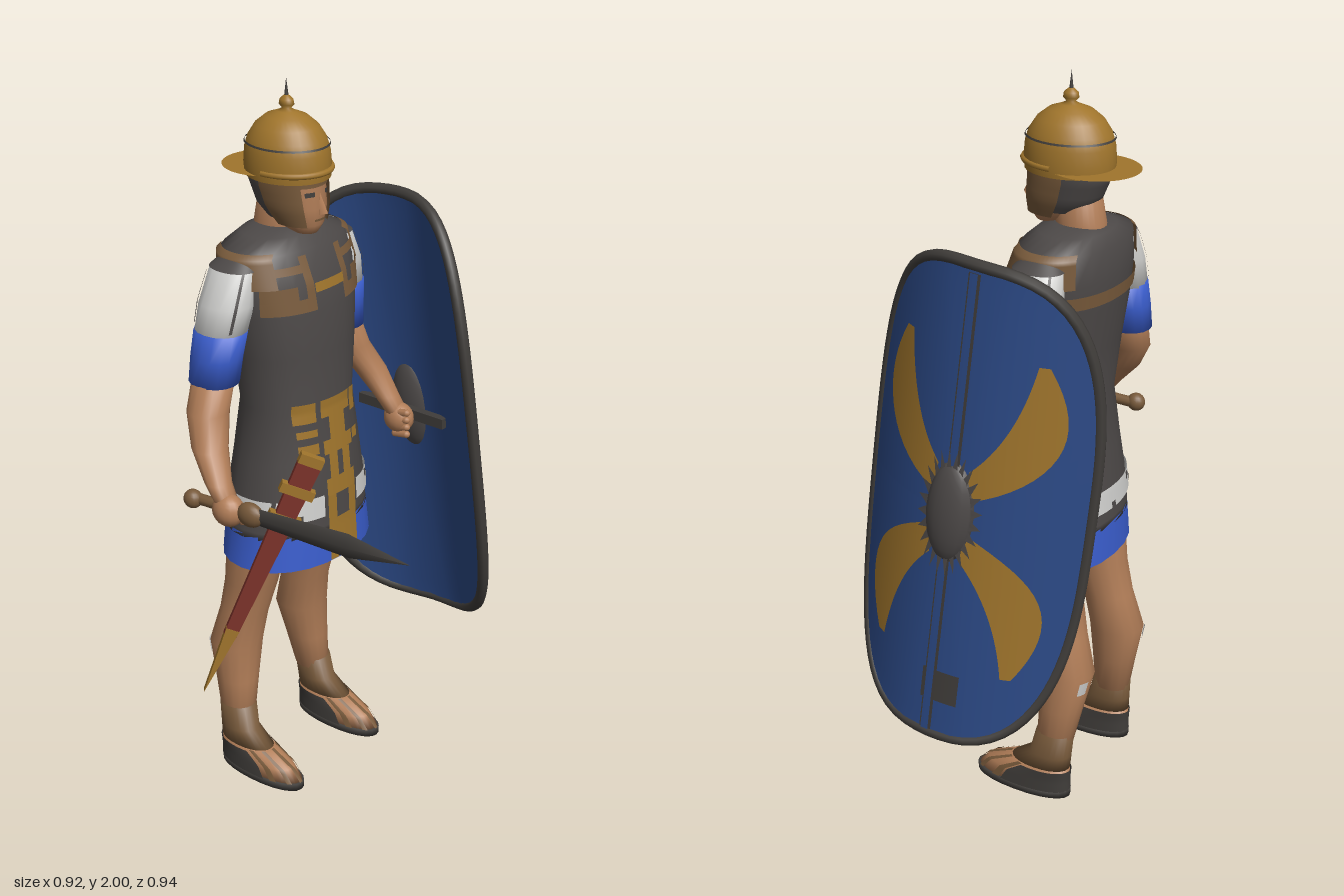
import * as THREE from 'three';

const P = 2.15; // roundness of the cross-sections
const mat = (name, color) => new THREE.MeshStandardMaterial({ name, color, side: THREE.DoubleSide });

// Interpolates sections [x, y, z, rx, rz] (ascending y) at a height
function at(secs, y) {
  let i = 0;
  while (i < secs.length - 2 && y > secs[i + 1][1]) i++;
  const a = secs[i], b = secs[i + 1], k = (y - a[1]) / (b[1] - a[1]);
  return a.map((v, n) => v + (b[n] - v) * k);
}
function ringPoint([x, y, z, rx, rz], t, off = 0) {
  const f = (c) => Math.sign(c) * Math.abs(c) ** (2 / P);
  return [x + (rx + off) * f(Math.cos(t)), y, z + (rz + off) * f(Math.sin(t))];
}
function buffer(pos, idx) {
  const g = new THREE.BufferGeometry();
  g.setAttribute('position', new THREE.Float32BufferAttribute(pos, 3));
  g.setIndex(idx);
  g.computeVertexNormals();
  return g;
}
// Closed rings stacked upwards, optionally capped
function loft(secs, caps = true, n = 24) {
  const pos = [], idx = [], m = secs.length;
  for (const s of secs) for (let j = 0; j < n; j++) pos.push(...ringPoint(s, (j / n) * Math.PI * 2));
  for (let i = 0; i < m - 1; i++) for (let j = 0; j < n; j++) {
    const a = i * n + j, b = i * n + (j + 1) % n;
    idx.push(a, a + n, b, b, a + n, b + n);
  }
  if (caps) {
    pos.push(...secs[0].slice(0, 3), ...secs[m - 1].slice(0, 3));
    for (let j = 0; j < n; j++) {
      const k = (j + 1) % n, e = (m - 1) * n;
      idx.push(m * n, j, k, m * n + 1, e + k, e + j);
    }
  }
  return buffer(pos, idx);
}
// Open sheet from a rule f(u, v) with u, v in 0..1
function sheet(f, nu = 8, nv = 8) {
  const pos = [], idx = [], w = nu + 1;
  for (let j = 0; j <= nv; j++) for (let i = 0; i <= nu; i++) pos.push(...f(i / nu, j / nv));
  for (let j = 0; j < nv; j++) for (let i = 0; i < nu; i++) {
    const a = j * w + i;
    idx.push(a, a + 1, a + w, a + 1, a + w + 1, a + w);
  }
  return buffer(pos, idx);
}
// Thin detail wrapped on a lofted body, by angle or by x range
const wrap = (secs, t0, t1, y0, y1, off = 0.005) => sheet((u, v) =>
  ringPoint(at(secs, y0 + (y1 - y0) * v), t1 + (t0 - t1) * u, off), Math.ceil((t1 - t0) * 10) + 4, 8);
const strip = (secs, x0, x1, y0, y1, side = 1, off = 0.006) => sheet((u, v) => {
  const s = at(secs, y0 + (y1 - y0) * v), x = side > 0 ? x0 + (x1 - x0) * u : x1 + (x0 - x1) * u;
  const c = Math.sign(x) * Math.min(1, Math.abs(x) / (s[3] + off)) ** (P / 2);
  return ringPoint(s, side * Math.acos(c), off);
}, 12, 8);

export function createModel() {
  const root = new THREE.Group(), body = new THREE.Group();
  root.name = 'soldier';
  body.name = 'figure';
  body.position.x = -0.043;
  root.add(body);
  const skin = mat('skin', 0xb27e58), mail = mat('mail', 0x4d4948), bronze = mat('bronze', 0xa0752c);
  const cloth = mat('blueCloth', 0x3a5dcc), paint = mat('shieldBlue', 0x2c4a87), white = mat('white', 0xd2d2d0);
  const leather = mat('leather', 0x785a3b), red = mat('red', 0x7c322a), dark = mat('darkIron', 0x403d3a);
  const add = (parent, name, geo, m, p = [0, 0, 0], s = [1, 1, 1]) => {
    const o = new THREE.Mesh(geo, m);
    o.name = name;
    o.position.set(...p);
    o.scale.set(...s);
    parent.add(o);
    return o;
  };
  const ball = new THREE.SphereGeometry(1, 16, 12);

  // Mail shirt and tunic hem
  const torso = [[0, 0.7, -0.19, 0.232, 0.17], [0, 0.81, -0.19, 0.218, 0.163], [0, 0.9, -0.188, 0.206, 0.158],
    [0, 1, -0.185, 0.189, 0.147], [0, 1.15, -0.183, 0.167, 0.13], [0, 1.3, -0.19, 0.184, 0.138],
    [0, 1.42, -0.2, 0.2, 0.143], [0, 1.5, -0.21, 0.208, 0.138], [0, 1.578, -0.222, 0.2, 0.118],
    [0, 1.607, -0.225, 0.12, 0.09], [0, 1.62, -0.23, 0.06, 0.06]];
  add(body, 'tunicHem', loft([torso[0], at(torso, 0.8)], false), cloth);
  add(body, 'mailShirt', loft([at(torso, 0.79), ...torso.slice(1)]), mail);
  add(body, 'whiteFringe', wrap(torso, 0, Math.PI * 2, 0.842, 0.905), white);
  for (let i = 0; i < 15; i++) {
    const t = (i / 15) * Math.PI * 2 + 0.1, low = i % 2 ? 0.84 : 0.885;
    add(body, 'fringeNotch', wrap(torso, t, t + 0.07, low, low + 0.022, 0.008), mail);
  }
  add(body, 'fringeGap', strip(torso, -0.07, 0.06, 0.83, 0.91, 1, 0.009), mail);
  // Bronze belt and apron
  const apron = [[-0.135, -0.075, 1.12, 1.175], [0.055, 0.08, 1.11, 1.175], [-0.13, -0.075, 1.03, 1.06],
    [0.055, 0.08, 1.03, 1.06], [-0.13, -0.075, 1.08, 1.1], [-0.06, 0.05, 1.125, 1.175], [-0.035, 0.025, 1.06, 1.125],
    [-0.06, 0.05, 1.02, 1.06], [-0.045, -0.015, 0.95, 1.02], [0.005, 0.035, 0.95, 1.02], [-0.06, 0.05, 0.9, 0.95],
    [-0.06, 0.05, 0.745, 0.83], [-0.06, -0.03, 0.71, 0.9], [0.02, 0.05, 0.71, 0.9]];
  for (const [a, b, c, d] of apron) add(body, 'apronPlate', strip(torso, a, b, c, d, 1, 0.011), bronze);
  add(body, 'chestClasp', strip(torso, -0.055, 0.055, 1.475, 1.5, 1, 0.009), bronze);
  add(body, 'backBand', strip(torso, -0.19, 0.19, 1.44, 1.475, -1), leather);

  // Head and helmet
  const head = [[0, 1.61, -0.145, 0.028, 0.035], [0, 1.635, -0.165, 0.054, 0.07], [0, 1.68, -0.185, 0.072, 0.095],
    [0, 1.74, -0.2, 0.08, 0.105], [0, 1.79, -0.2, 0.08, 0.105]];
  add(body, 'neck', loft([[0, 1.54, -0.24, 0.066, 0.072], [0, 1.62, -0.235, 0.058, 0.066], [0, 1.72, -0.22, 0.055, 0.06]]), skin);
  add(body, 'head', loft(head), skin);
  add(body, 'hair', wrap(head, -Math.PI + 0.1, -0.1, 1.65, 1.77, 0.006), mail);
  const nose = add(body, 'nose', new THREE.ConeGeometry(0.016, 0.055, 4), skin, [0, 1.695, -0.088]);
  nose.rotation.x = -0.2;
  add(body, 'mouth', strip(head, -0.02, 0.02, 1.648, 1.654, 1, 0.003), leather);
  add(body, 'browShade', strip(head, -0.065, 0.065, 1.738, 1.77, 1, 0.003), leather);
  const dome = [[0.101, 1.752], [0.103, 1.78], [0.1, 1.82], [0.092, 1.85], [0.075, 1.88], [0.05, 1.903], [0.022, 1.915],
    [0.01, 1.922], [0.018, 1.932], [0.016, 1.945], [0.006, 1.955], [0, 1.956]].map((p) => new THREE.Vector2(...p));
  add(body, 'helmet', new THREE.LatheGeometry(dome, 32), bronze, [0, 0, -0.2], [1, 1, 1.17]);
  add(body, 'helmetSpike', new THREE.ConeGeometry(0.006, 0.05, 8), dark, [0, 1.975, -0.2]);
  add(body, 'helmetLine', new THREE.CylinderGeometry(0.099, 0.101, 0.005, 32, 1, true), dark, [0, 1.838, -0.2], [1, 1, 1.17]);
  add(body, 'neckGuard', new THREE.CircleGeometry(1, 32).rotateX(-Math.PI / 2), bronze, [0, 1.765, -0.27], [0.114, 1, 0.12]);
  const brow = add(body, 'browBand', new THREE.TorusGeometry(0.1, 0.008, 8, 24, Math.PI), bronze, [0, 1.775, -0.2], [1, 1.2, 1]);
  brow.rotation.x = Math.PI / 2;

  // Mirrored parts
  for (const s of [-1, 1]) {
    const side = s < 0 ? 'right' : 'left';
    const flip = (secs) => secs.map(([x, y, z, a, b = a]) => [x * s, y, z, a, b]);
    const span = (a, b) => (s < 0 ? [-b, -a] : [a, b]);
    const turn = (a, b) => (s < 0 ? [Math.PI - b, Math.PI - a] : [a, b]);
    add(body, side + 'CheekGuard', wrap(head, ...turn(-0.2, 0.9), 1.635, 1.77, 0.008), leather);
    add(body, side + 'Eye', strip(head, ...span(0.02, 0.045), 1.715, 1.727, 1, 0.003), dark);
    // Shoulder yoke edging
    for (const [a, b, c, d] of [[0.055, 0.08, 1.43, 1.57], [0.055, 0.19, 1.43, 1.465], [0.105, 0.19, 1.465, 1.5], [0.08, 0.16, 1.53, 1.55]])
      add(body, side + 'YokeEdge', strip(torso, ...span(a, b), c, d), leather);
    add(body, side + 'ShoulderEdge', wrap(torso, ...turn(-0.75, 0.8), 1.5, 1.585, 0.008), leather);
    // Arm, the left one held closer in behind the shield
    const hx = s < 0 ? 0.37 : 0.345;
    const arm = add(body, side + 'Arm', loft(flip([[hx - 0.002, 0.98, -0.105, 0.03], [hx - 0.008, 1.03, -0.14, 0.035],
      [0.33, 1.1, -0.195, 0.047], [0.29, 1.18, -0.235, 0.055], [0.255, 1.27, -0.242, 0.055]]), true, 16), skin);
    add(arm, side + 'Cuff', loft(flip([[0.255, 1.25, -0.242, 0.062, 0.068], [0.247, 1.32, -0.237, 0.064, 0.07],
      [0.236, 1.39, -0.23, 0.066, 0.072]]), true, 16), cloth);
    const sleeve = flip([[0.237, 1.375, -0.232, 0.063, 0.07], [0.215, 1.46, -0.226, 0.066, 0.075],
      [0.187, 1.545, -0.223, 0.054, 0.068], [0.15, 1.582, -0.22, 0.04]]);
    add(arm, side + 'Sleeve', loft(sleeve, true, 16), white);
    add(arm, side + 'ShoulderCap', wrap(sleeve, 0, Math.PI * 2, 1.548, 1.58, 0.004), mail);
    for (const t of [-2.1, -0.9, 0.9, 2.1])
      add(arm, side + 'SleeveTrim', wrap(sleeve, t, t + 0.12, 1.4, 1.55, 0.004), mail);
    add(arm, side + 'Hand', ball, skin, [s * hx, 0.965, -0.1], [0.038, 0.045, 0.046]);
    for (let i = 0; i < 4; i++) {
      const f = add(arm, side + 'Finger', new THREE.CapsuleGeometry(0.011, 0.04, 3, 8), skin,
        [s * (hx - 0.016), 0.925 + (s > 0 ? i * 0.022 : 0.022), -0.075 - (s < 0 ? i * 0.021 : 0.005)]);
      f.rotation.set(s > 0 ? 1.4 : 0, 0, s > 0 ? 0 : 0.5);
    }
    // Leg and sandal
    const leg = flip([[0.164, 0.17, -0.28, 0.045, 0.05], [0.153, 0.28, -0.29, 0.057, 0.062], [0.142, 0.39, -0.3, 0.07, 0.076],
      [0.131, 0.5, -0.275, 0.065, 0.07], [0.125, 0.6, -0.25, 0.07, 0.076], [0.12, 0.72, -0.23, 0.08, 0.086],
      [0.113, 0.85, -0.205, 0.085, 0.09]]);
    add(body, side + 'Leg', loft(leg, true, 16), skin);
    add(body, side + 'CalfPatch', wrap(leg, ...turn(-1.35, -0.95), 0.345, 0.385, 0.004), white);
    const foot = flip([[0.172, 0.02, -0.185, 0.052, 0.142], [0.172, 0.055, -0.2, 0.05, 0.126], [0.172, 0.09, -0.24, 0.047, 0.088],
      [0.17, 0.13, -0.27, 0.044, 0.06], [0.165, 0.2, -0.28, 0.048, 0.053]]);
    add(body, side + 'Foot', loft(foot.slice(0, 3)), skin);
    add(body, side + 'SandalCuff', loft(foot.slice(2)), leather);
    add(body, side + 'Sole', loft([[s * 0.172, 0, -0.185, 0.054, 0.146], [s * 0.172, 0.022, -0.185, 0.055, 0.147]]), dark);
    add(body, side + 'Heel', wrap(foot, -Math.PI - 0.3, 0.3, 0.02, 0.085, 0.004), dark);
    for (const t of [0.35, 0.9, 1.45, 2, 2.5])
      add(body, side + 'SandalStrap', wrap(foot, t, t + 0.18, 0.022, 0.09, 0.004), leather);
  }

  // Sword held forward
  const sword = new THREE.Group();
  sword.name = 'sword';
  sword.position.set(-0.405, 0.972, 0);
  sword.rotation.set(-0.035, 0.05, 0);
  root.add(sword);
  const blade = [[0, -0.02], [0.024, 0], [0.034, 0.28], [0, 0.465]].map((p) => new THREE.Vector2(...p));
  add(sword, 'blade', new THREE.LatheGeometry(blade, 4).rotateX(Math.PI / 2), dark, [0, 0, 0], [0.4, 1, 1]);
  add(sword, 'guard', ball, leather, [0, 0, -0.03], [0.024, 0.034, 0.04]);
  add(sword, 'grip', new THREE.CylinderGeometry(0.015, 0.015, 0.17, 10).rotateX(Math.PI / 2), leather, [0, 0, -0.12]);
  add(sword, 'pommel', ball, leather, [-0.008, 0, -0.215], [0.024, 0.026, 0.026]);

  // Scabbard hanging at the right hip
  const scabbard = new THREE.Group();
  scabbard.name = 'scabbard';
  scabbard.position.set(-0.288, 0.71, -0.118);
  scabbard.rotation.set(0, -Math.PI / 4, -0.415, 'YXZ');
  root.add(scabbard);
  const plate = (pts, d) => new THREE.ExtrudeGeometry(new THREE.Shape(pts.map((p) => new THREE.Vector2(...p))),
    { depth: d, bevelEnabled: false }).translate(0, 0, -d / 2);
  add(scabbard, 'sheath', plate([[-0.018, -0.2], [0.018, -0.2], [0.033, 0.36], [-0.033, 0.36]], 0.018), red);
  add(scabbard, 'sheathTip', plate([[0, -0.39], [0.019, -0.18], [-0.019, -0.18]], 0.02), bronze);
  for (const [y, w] of [[0.365, 0.066], [0.27, 0.095], [0.18, 0.09]])
    add(scabbard, 'sheathBand', new THREE.BoxGeometry(w, 0.028, 0.024), bronze, [0, y, 0]);

  // Curved shield: local width u, height v, outward offset n
  const shield = new THREE.Group();
  shield.name = 'shield';
  root.add(shield);
  const A = 0.32, B = 0.65;
  const on = (u, v, n = 0) => {
    const d = n - 0.14 * (u / A) ** 2;
    return [0.4 - 0.083 * v + d, 0.965 + 0.993 * v + 0.076 * u + 0.083 * d, -0.127 - 0.076 * v + 0.997 * u];
  };
  const edge = (t, r = 1) => {
    const f = (c) => Math.sign(c) * Math.abs(c) ** (2 / 3.1) * r;
    return [A * f(Math.cos(t)), B * f(Math.sin(t))];
  };
  const face = (n) => sheet((u, v) => on(...edge(-u * Math.PI * 2, v), n), 64, 12);
  add(shield, 'shieldFront', face(0.01), paint);
  add(shield, 'shieldBack', face(-0.01), paint);
  const rim = [...Array(48).keys()].map((i) => new THREE.Vector3(...on(...edge((i / 48) * Math.PI * 2))));
  add(shield, 'shieldRim', new THREE.TubeGeometry(new THREE.CatmullRomCurve3(rim, true), 96, 0.016, 8, true), dark);
  // Patch painted between two heights of the shield face
  const bar = (u0, u1, v0, v1, n) => sheet((u, v) => on(u0 + (u1 - u0) * u, v0 + (v1 - v0) * v, n), 6, 8);
  add(shield, 'ribEdge', bar(-0.017, 0.017, -0.635, 0.635, 0.015), dark);
  add(shield, 'rib', bar(-0.011, 0.011, -0.635, 0.635, 0.019), paint);
  add(shield, 'darkPatch', bar(-0.08, 0.025, -0.545, -0.455, 0.014), dark);
  // Painted crescents
  const bow = (p, k) => [0, 1].map((i) => (1 - k) ** 2 * p[0][i] + 2 * k * (1 - k) * p[1][i] + k * k * p[2][i]);
  const outer = [[0.205, 0.435], [0.36, 0.17], [0.05, 0.045]], inner = [[0.18, 0.435], [0.15, 0.23], [0.045, 0.125]];
  for (const su of [-1, 1]) for (const sv of [-1, 1]) add(shield, 'crescent', sheet((u, v) => {
    const a = bow(outer, v), b = bow(inner, v);
    return on(su * (a[0] + (b[0] - a[0]) * u), sv * (a[1] + (b[1] - a[1]) * u), 0.016);
  }, 8, 16), bronze);
  // Boss on a spiked plate
  add(shield, 'bossPlate', sheet((u, v) => {
    const t = u * Math.PI * 2, k = v * (Math.round(u * 48) % 2 ? 1.35 : 0.9);
    return on(0.07 * k * Math.cos(t), 0.13 * k * Math.sin(t), 0.021);
  }, 48, 3), mail);
  const boss = add(shield, 'boss', ball, mail, on(0, 0, 0.005), [0.04, 0.14, 0.068]);
  boss.rotation.set(-0.076, 0, 0.083);
  add(shield, 'shieldGrip', new THREE.BoxGeometry(0.025, 0.03, 0.3), dark, on(0, 0, -0.045));
  return root;
}
